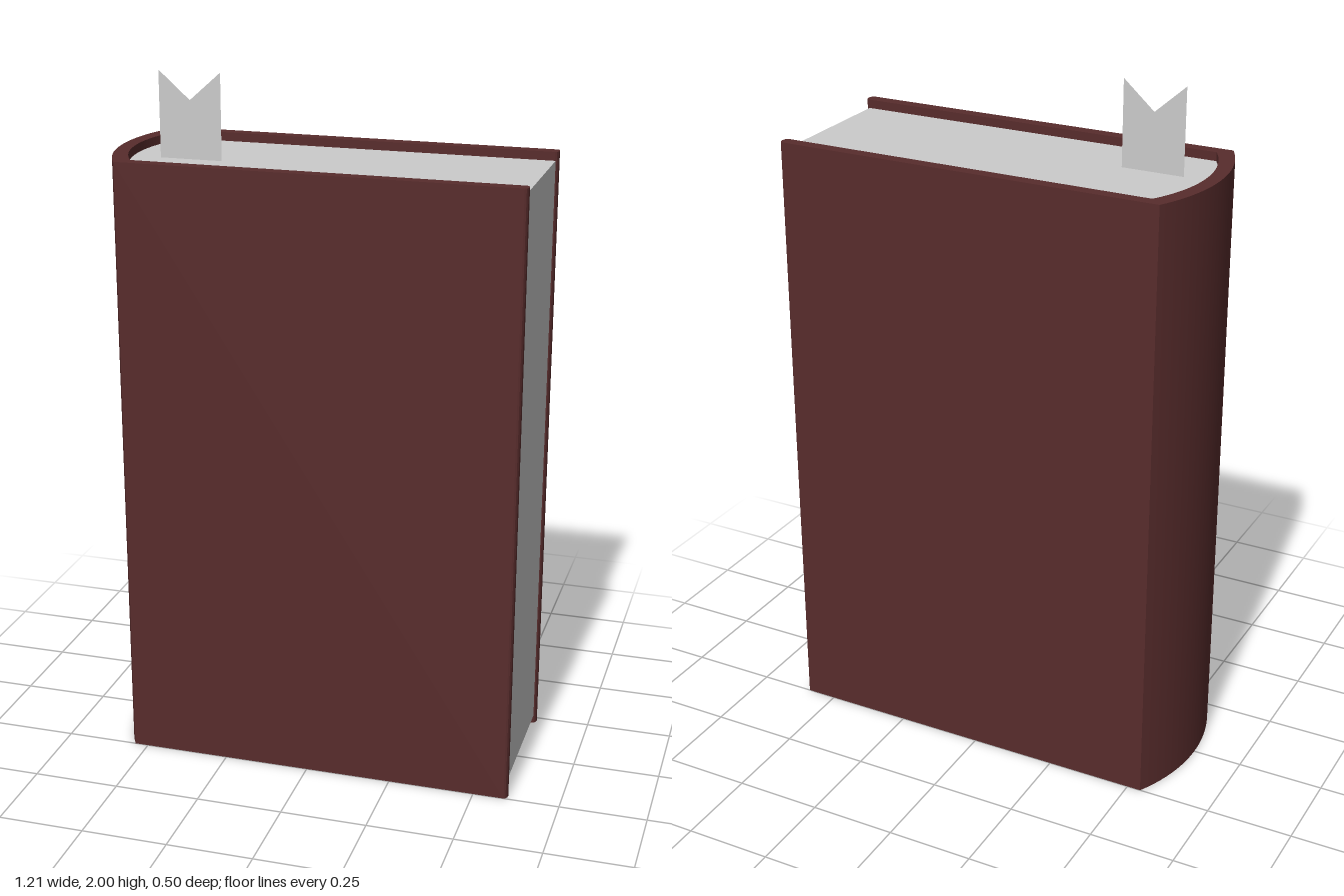
import * as THREE from 'three';
import { toCreasedNormals } from 'three/addons/utils/BufferGeometryUtils.js';

const HEIGHT = 1.78, LIP = 0.025;
const OUT = { x: -0.54, z: 0.25, bulge: 0.065 };
const IN = { x: -0.505, z: 0.215, bulge: 0.06 };

// Points along a bowed spine, from -z to +z
function spineArc({ x, z, bulge }, n = 20) {
  const r = (z * z + bulge * bulge) / (2 * bulge);
  const half = Math.asin(z / r);
  const cx = x - bulge + r;
  return Array.from({ length: n + 1 }, (_, i) => {
    const a = half * (2 * i / n - 1);
    return [cx - r * Math.cos(a), r * Math.sin(a)];
  });
}

// Softly rounded fore-edge of a cover board, from z0 to z1
function boardTip(x, z0, z1, n = 6) {
  return Array.from({ length: n + 1 }, (_, i) => {
    const a = Math.PI * i / n;
    return [x - 0.01 + 0.01 * Math.sin(a), (z0 + z1) / 2 - (z1 - z0) / 2 * Math.cos(a)];
  });
}

// Raise an x/z outline from y0 to y1
function raise(outline, y0, y1) {
  const shape = new THREE.Shape(outline.map(([x, z]) => new THREE.Vector2(x, -z)));
  const geo = new THREE.ExtrudeGeometry(shape, { depth: y1 - y0, bevelEnabled: false });
  geo.rotateX(-Math.PI / 2).translate(0, y0, 0);
  return toCreasedNormals(geo, 0.35);
}

function addMesh(group, name, geometry, material) {
  const mesh = new THREE.Mesh(geometry, material);
  mesh.name = name;
  group.add(mesh);
}

export function createModel() {
  const book = new THREE.Group();
  book.name = 'book';
  const leather = new THREE.MeshStandardMaterial({ color: 0x582c2c });
  const paper = new THREE.MeshStandardMaterial({ color: 0xcccccc });
  const ribbon = new THREE.MeshStandardMaterial({ color: 0xcccccc, side: THREE.DoubleSide });

  // Cover: two boards joined by the bowed spine
  const coverOutline = [
    ...spineArc(OUT),
    ...boardTip(0.6, OUT.z, IN.z),
    ...spineArc(IN).reverse(),
    ...boardTip(0.595, -IN.z, -OUT.z),
  ];
  addMesh(book, 'cover', raise(coverOutline, 0, HEIGHT), leather);

  // Page block, set in slightly from the cover edges
  const pageOutline = [...spineArc(IN), [0.587, IN.z], [0.587, -IN.z]];
  addMesh(book, 'pages', raise(pageOutline, LIP, HEIGHT - LIP), paper);

  // Swallow-tailed bookmark standing out of the pages
  const tail = new THREE.Shape([
    [-0.48, 1.7], [-0.3, 1.7], [-0.3, 2], [-0.39, 1.92], [-0.48, 2],
  ].map(([x, y]) => new THREE.Vector2(x, y)));
  addMesh(book, 'bookmark', new THREE.ShapeGeometry(tail).translate(0, 0, 0.05), ribbon);

  return book;
}
